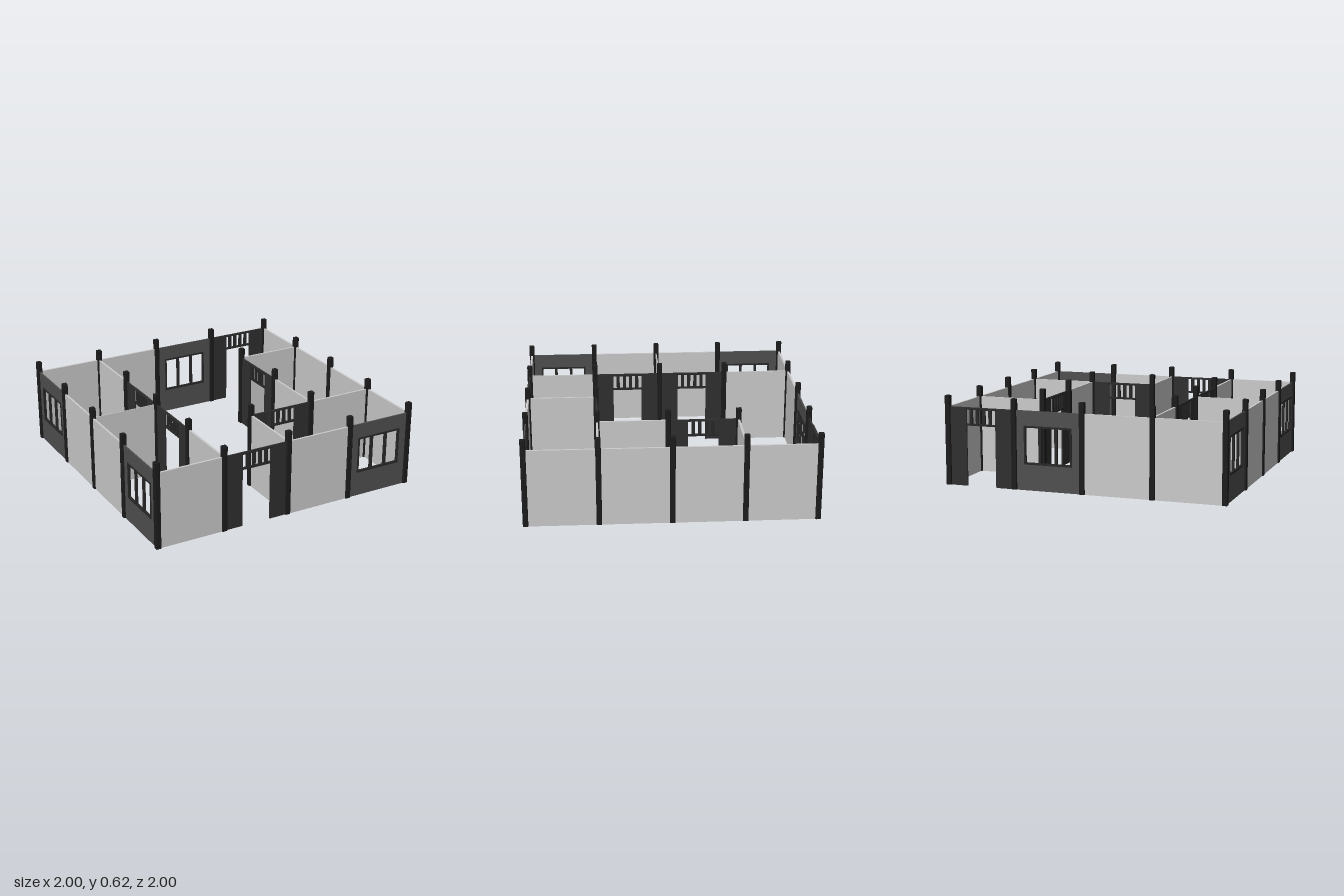
import * as THREE from 'three';
import { RoundedBoxGeometry } from 'three/addons/geometries/RoundedBoxGeometry.js';

const P = 0.4908;   // bay pitch
const W = P - 0.02; // panel length between posts
const H = 0.545;    // wall height

const plaster = new THREE.MeshStandardMaterial({ color: 0xcccccc });
const windowPanel = new THREE.MeshStandardMaterial({ color: 0x505050 });
const doorPanel = new THREE.MeshStandardMaterial({ color: 0x303030 });
const trim = new THREE.MeshStandardMaterial({ color: 0x282828 });
const postMat = new THREE.MeshStandardMaterial({ color: 0x1c1c1c });

function box(parent, name, mat, w, h, d, x, y, z = 0) {
  const m = new THREE.Mesh(new THREE.BoxGeometry(w, h, d), mat);
  m.name = name;
  m.position.set(x, y, z);
  parent.add(m);
}

function rect(Type, x0, y0, x1, y1) {
  return new Type([[x0, y0], [x1, y0], [x1, y1], [x0, y1]].map(p => new THREE.Vector2(...p)));
}

function panel(parent, name, mat, shape, depth) {
  const g = new THREE.ExtrudeGeometry(shape, { depth, bevelEnabled: false });
  g.translate(0, 0, -depth / 2);
  const m = new THREE.Mesh(g, mat);
  m.name = name;
  parent.add(m);
}

// Each wall runs along local x, with its outer side facing +z
function plainWall(thickness = 0.015) {
  const g = new THREE.Group();
  box(g, 'wallPanel', plaster, W, H, thickness, 0, H / 2);
  return g;
}

function windowWall() {
  const g = new THREE.Group();
  const x = 0.173, y0 = 0.178, y1 = 0.443, t = 0.013;
  const wall = rect(THREE.Shape, -W / 2, 0, W / 2, H);
  wall.holes.push(rect(THREE.Path, -x + 0.004, y0 + 0.004, x - 0.004, y1 - 0.004));
  panel(g, 'windowWallPanel', windowPanel, wall, 0.01);
  const frame = rect(THREE.Shape, -x, y0, x, y1);
  frame.holes.push(rect(THREE.Path, -x + t, y0 + t, x - t, y1 - t));
  panel(g, 'windowFrame', trim, frame, 0.017);
  for (const s of [-1, 1]) {
    box(g, 'windowMullion', trim, 0.02, y1 - y0 - 2 * t, 0.015, s * 0.058, (y0 + y1) / 2);
  }
  return g;
}

function doorWall() {
  const g = new THREE.Group();
  const x = 0.107, top = 0.53;
  const pts = [[-W / 2, 0], [-x, 0], [-x, top], [x, top], [x, 0], [W / 2, 0], [W / 2, H], [-W / 2, H]];
  panel(g, 'doorWallPanel', doorPanel, new THREE.Shape(pts.map(p => new THREE.Vector2(...p))), 0.01);
  // transom over the doorway: two rails and four bars
  box(g, 'transomLowerRail', trim, 0.226, 0.013, 0.016, 0, 0.427, 0.004);
  box(g, 'transomUpperRail', trim, 0.226, 0.01, 0.016, 0, 0.535, 0.004);
  for (let i = 0; i < 4; i++) {
    box(g, 'transomBar', trim, 0.023, 0.1, 0.012, (i - 1.5) * 0.047, 0.481, 0.004);
  }
  return g;
}

export function createModel() {
  const model = new THREE.Group();
  model.name = 'housePartitions';

  // posts on the grid of bays
  const postGeo = new RoundedBoxGeometry(0.037, 0.622, 0.037, 2, 0.005);
  for (let j = -2; j <= 2; j++) {
    for (let i = -2; i <= 2; i++) {
      if (i === 0 && (j === -1 || j === 0)) continue; // open centre
      const post = new THREE.Mesh(postGeo, postMat);
      post.name = 'post';
      post.position.set(i * P, 0.311, j * P);
      model.add(post);
    }
  }

  // bay centre in grid steps and outward direction
  const turn = { front: 0, left: Math.PI / 2, back: Math.PI, right: -Math.PI / 2 };
  function add(name, wall, i, j, facing) {
    wall.name = name;
    wall.position.set(i * P, 0, j * P);
    wall.rotation.y = turn[facing];
    model.add(wall);
  }

  const make = { p: plainWall, w: windowWall, d: doorWall };
  // four bays per outer side, listed from the low coordinate up
  const sides = { front: 'pdpw', back: 'ppwd', left: 'pppp', right: 'wppw' };
  for (const [side, bays] of Object.entries(sides)) {
    [...bays].forEach((b, k) => {
      const a = k - 1.5;
      const out = side === 'front' || side === 'left' ? 2 : -2;
      const alongX = side === 'front' || side === 'back';
      add(side + 'Wall', make[b](), alongX ? a : out, alongX ? out : a, side);
    });
  }

  // rooms on the right
  [...'pddp'].forEach((b, k) => add('rightRoomWall', make[b](), -1, k - 1.5, 'left'));
  add('rightRoomDivider', plainWall(0.006), -1.5, 0, 'front');

  // rooms on the left
  add('leftRoomWall', doorWall(), 1, -0.5, 'right');
  add('leftRoomWall', plainWall(), 1, 0.5, 'right');
  add('leftRoomBackWall', plainWall(), 1.5, -1, 'front');
  add('leftRoomDivider', plainWall(), 1.5, 1, 'front');
  add('frontRoomDoorWall', doorWall(), 0.5, 1, 'back');
  add('frontRoomSideWall', plainWall(), 0, 1.5, 'left');

  return model;
}
